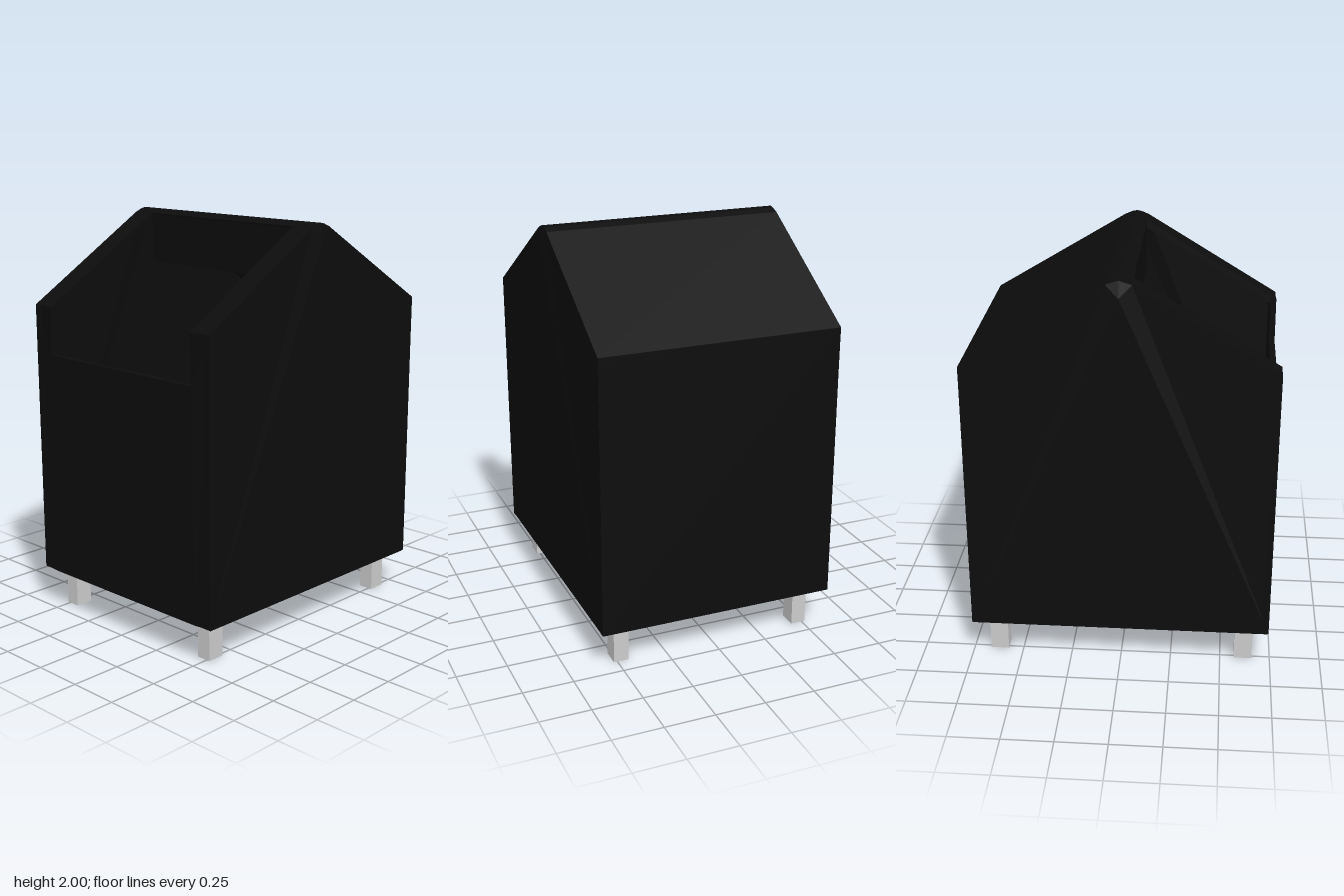
import * as THREE from 'three';

const black = new THREE.MeshStandardMaterial({ color: 0x0c0c0c, side: THREE.DoubleSide });
const grey = new THREE.MeshStandardMaterial({ color: 0xcccccc });

const WALL = 0.03;
const HALF_W = 0.6; // half width of the body
const OPEN_W = 0.48; // half width of the opening

const outline = (points) => new THREE.Shape(points.map(([a, b]) => new THREE.Vector2(a, b)));

// Extrudes a (z, y) outline along x, centred on x.
function profileAlongX(points, width, x = 0) {
  const geo = new THREE.ExtrudeGeometry(outline(points), { depth: width, bevelEnabled: false });
  return geo.translate(0, 0, -width / 2).rotateY(-Math.PI / 2).translate(x, 0, 0);
}

// Moves every vertex by a rule and renews the flat normals.
function bend(geo, rule) {
  const pos = geo.attributes.position;
  const v = new THREE.Vector3();
  for (let i = 0; i < pos.count; i++) {
    v.fromBufferAttribute(pos, i);
    rule(v);
    pos.setXYZ(i, v.x, v.y, v.z);
  }
  geo.computeVertexNormals();
  return geo;
}

export function createModel() {
  const group = new THREE.Group();
  const add = (name, geo, material = black) => {
    const mesh = new THREE.Mesh(geo, material);
    mesh.name = name;
    group.add(mesh);
  };

  // Gabled side walls, each in two halves that swell outward at the middle
  for (const side of [-1, 1]) {
    for (const end of [-1, 1]) {
      const half = [[0, 0.2], [0.735, 0.2], [0.738, 1.57], [0.06, 1.98], [0, 2], [0, 1.92]]
        .map(([z, y]) => [z * end, y]);
      const geo = profileAlongX(half, WALL, side * (HALF_W - WALL / 2));
      bend(geo, (v) => {
        if (Math.abs(v.z) < 0.001 && v.y > 0.3 && v.y < 1.95) v.x += side * 0.015;
        if (v.y < 0.3) v.x -= side * 0.003;
      });
      add(side > 0 ? 'leftSideWall' : 'rightSideWall', geo);
    }
  }

  // Front wall with the lower part of the opening cut from its top edge
  const front = new THREE.ExtrudeGeometry(outline([
    [-HALF_W, 0.2], [-0.5, 0.2], [0.5, 0.2], [HALF_W, 0.2], [HALF_W, 1.57], [OPEN_W, 1.57],
    [0.49, 1.33], [-0.49, 1.33], [-OPEN_W, 1.57], [-HALF_W, 1.57],
  ]), { depth: WALL, bevelEnabled: false }).translate(0, 0, 0.71);
  add('frontWall', bend(front, (v) => {
    if (Math.abs(v.x) > 0.55) { v.z -= 0.012; v.x *= 0.998; }
    if (v.y > 1.2 && v.y < 1.4) v.z += 0.002;
  }));

  // Back wall and floor
  add('backWall', new THREE.BoxGeometry(1.196, 1.37, WALL).translate(0, 0.885, -0.725));
  add('floor', new THREE.BoxGeometry(1.19, WALL, 1.46).translate(0, 0.212, 0));

  // Rear roof slope, with the rounded ridge carried over to the opening
  add('rearRoof', profileAlongX([
    [-0.74, 1.57], [-0.06, 1.98], [-0.025, 1.995], [0, 2], [0.025, 1.995], [0.06, 1.98],
    [0.05, 1.945], [0, 1.96], [-0.05, 1.945], [-0.74, 1.535],
  ], 1.198));

  // Sloping strips on both sides of the opening
  for (const side of [-1, 1]) {
    add('frontRoofStrip', profileAlongX(
      [[0.738, 1.57], [0.06, 1.98], [0.04, 1.95], [0.71, 1.545]],
      HALF_W - OPEN_W - 0.001, side * (HALF_W + OPEN_W) / 2,
    ));
  }

  // Lip hanging from the ridge at the back of the opening
  add('openingLip', new THREE.BoxGeometry(OPEN_W * 2, 0.245, WALL).translate(0, 1.8525, 0.042));

  // Four square legs
  for (const x of [-0.48, 0.48]) {
    for (const z of [-0.62, 0.615]) {
      add('leg', new THREE.BoxGeometry(0.075, 0.21, 0.09).translate(x, 0.105, z), grey);
    }
  }

  return group;
}
